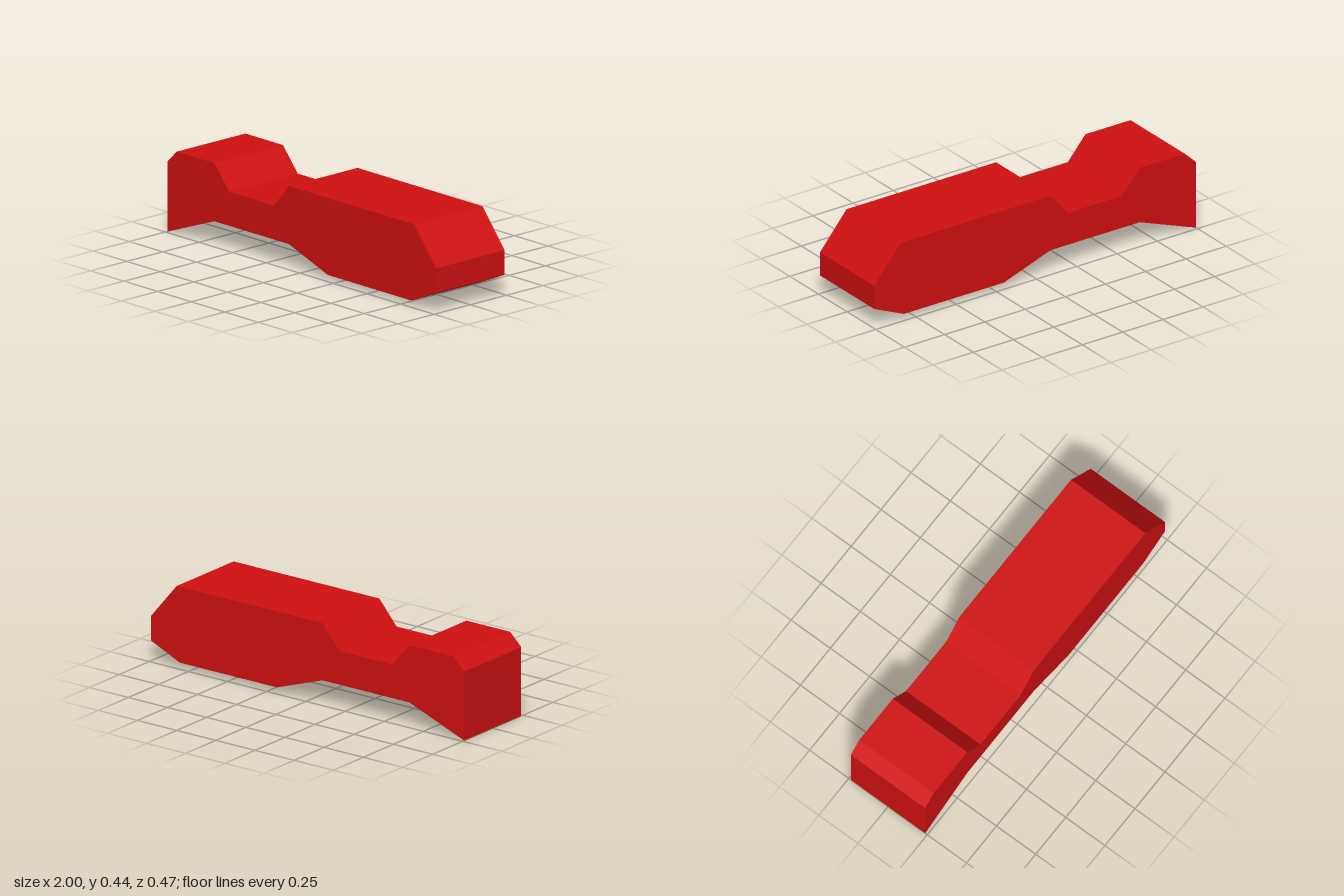
import * as THREE from 'three';

const DEPTH = 0.474;

// Side outline, counter-clockwise from the low corner of the tail
const OUTLINE = [
  [-1, 0], [-0.65, 0.13], [-0.095, 0.13], [0.195, 0.03], [0.815, 0.03],
  [1, 0.11], [1, 0.24], [0.835, 0.437], [-0.095, 0.437], [-0.205, 0.31],
  [-0.54, 0.31], [-0.65, 0.437], [-0.93, 0.437], [-1, 0.37],
];

export function createModel() {
  const group = new THREE.Group();
  group.name = 'notchedBlock';

  // One solid body: long nose, narrow waist and flared tail
  const shape = new THREE.Shape(OUTLINE.map(([x, y]) => new THREE.Vector2(x, y)));
  const geometry = new THREE.ExtrudeGeometry(shape, { depth: DEPTH, bevelEnabled: false });
  geometry.translate(0, 0, -DEPTH / 2);

  const material = new THREE.MeshStandardMaterial({ color: 0xd01010 });
  const body = new THREE.Mesh(geometry, material);
  body.name = 'body';
  group.add(body);

  return group;
}
